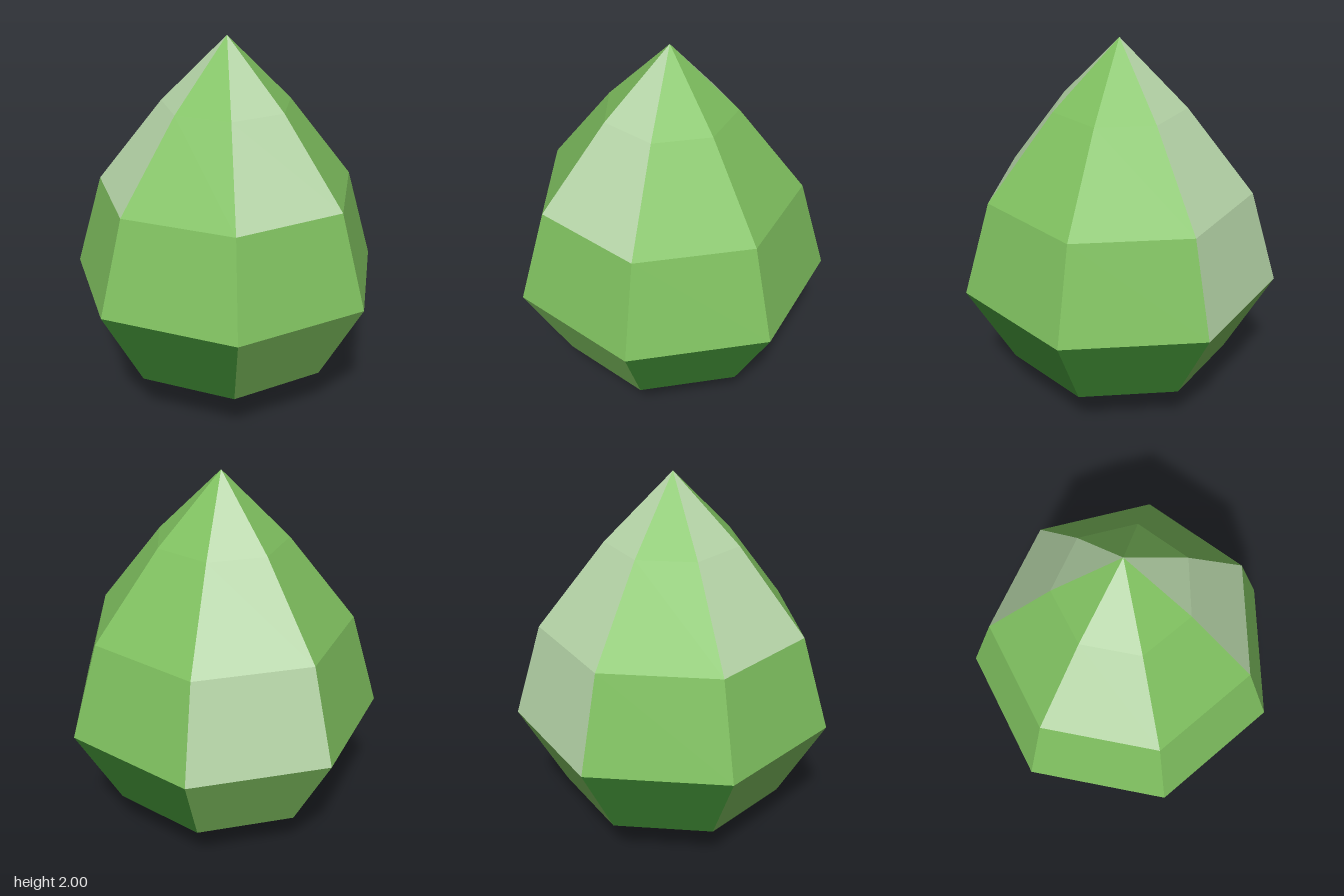
import * as THREE from 'three';

const SIDES = 7;
const STEP = (Math.PI * 2) / SIDES;
const TURN = -0.053;

// Profile sections from base to tip: [radius, height]
const BASE = [[0, 0], [0.6, 0.25]];
const BELLY = [[0.6, 0.25], [0.846, 0.7]];
const WAIST = [[0.846, 0.7], [0.7, 1.2]];
const CROWN = [[0.7, 1.2], [0.348, 1.65], [0, 2]];

export function createModel() {
  const group = new THREE.Group();
  group.name = 'facetedBud';

  const material = (name, color) => {
    const m = new THREE.MeshStandardMaterial({ color, flatShading: true });
    m.name = name;
    return m;
  };
  const leafGreen = material('leafGreen', 0x7fc05f);
  const paleGreen = material('paleGreen', 0xb6d5a8);
  const deepGreen = material('deepGreen', 0x429036);

  // One flat-faced strip of the turned shape, one side wide
  const addPanel = (name, section, side, mat) => {
    const points = section.map(([r, y]) => new THREE.Vector2(r, y));
    const geometry = new THREE.LatheGeometry(points, 1, TURN + side * STEP, STEP).toNonIndexed();
    geometry.computeVertexNormals();
    const mesh = new THREE.Mesh(geometry, mat);
    mesh.name = name + side;
    group.add(mesh);
  };

  const lightSides = [0, 3, 5];
  for (let side = 0; side < SIDES; side++) {
    const light = lightSides.includes(side);
    addPanel('base', BASE, side, deepGreen);
    addPanel('belly', BELLY, side, light ? leafGreen : deepGreen);
    addPanel('waist', WAIST, side, side === 3 ? paleGreen : leafGreen); // the back panel is pale here too
    addPanel('crown', CROWN, side, light ? paleGreen : leafGreen);
  }

  // Centre the seven-sided outline
  group.position.set(-0.01, 0, -0.032);
  const model = new THREE.Group();
  model.name = 'bud';
  model.add(group);
  return model;
}
